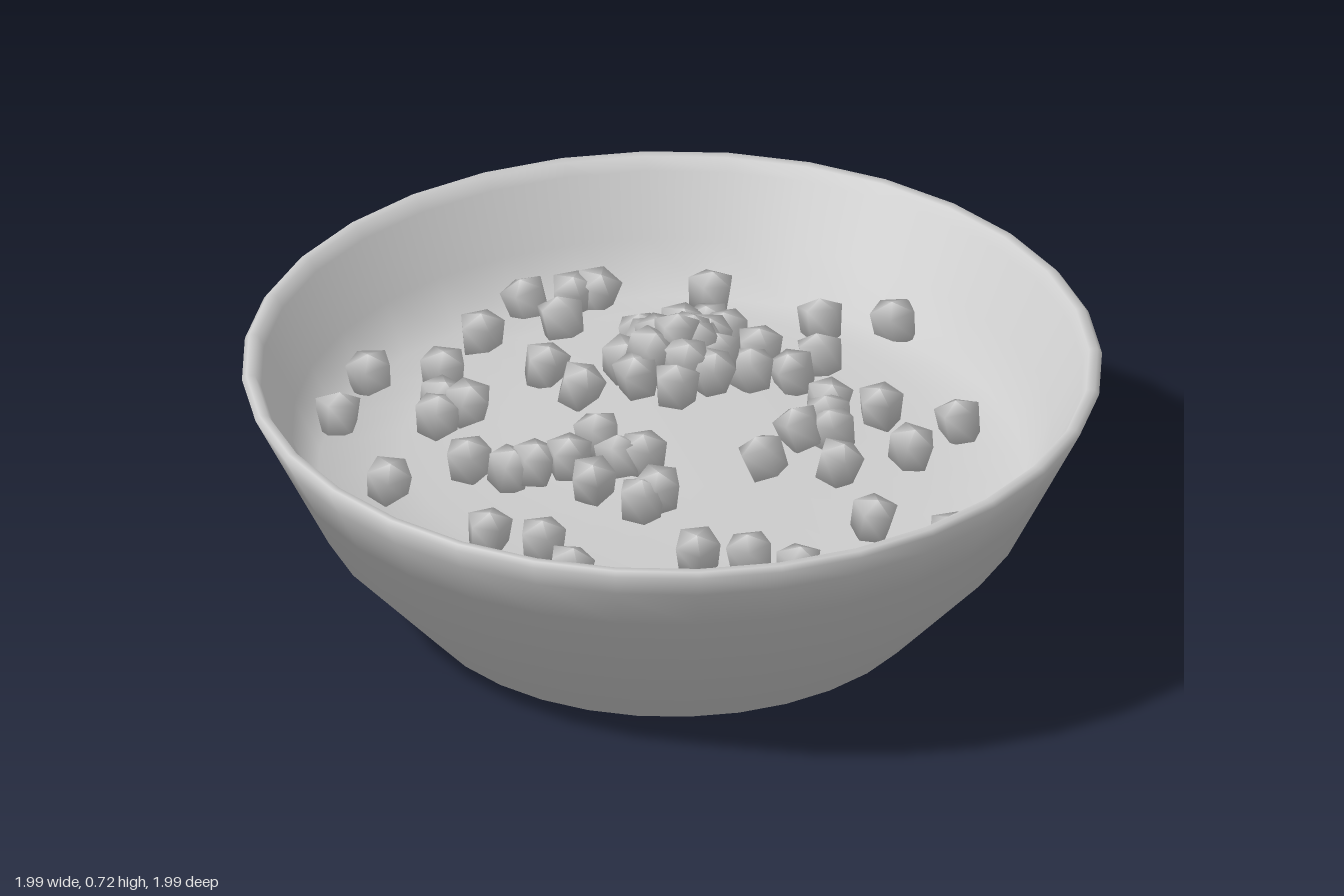
import * as THREE from 'three';

const grey = new THREE.MeshStandardMaterial({ color: 0xcccccc });

// Height of the heaped filling at a given radius
const moundHeight = (r) => 0.56 - 0.24 * r - 0.08 * r * r;

// Turned surface from rings of [radius, height, upward tilt of the soft normal in degrees]
function turned(rings, segments) {
  const geometry = new THREE.LatheGeometry(rings.map(([r, y]) => new THREE.Vector2(r, y)), segments);
  const normal = geometry.attributes.normal;
  for (let i = 0; i < normal.count; i++) {
    const turn = (Math.floor(i / rings.length) / segments) * Math.PI * 2;
    const tilt = THREE.MathUtils.degToRad(rings[i % rings.length][2]);
    const out = Math.cos(tilt);
    normal.setXYZ(i, Math.sin(turn) * out, Math.sin(tilt), Math.cos(turn) * out);
  }
  return geometry;
}

// Small repeatable variation
function seeded(seed) {
  return () => {
    seed = (seed * 16807) % 2147483647;
    return seed / 2147483647;
  };
}

// Loose pieces lying on the filling: x, z
const loosePieces = [
  [-0.37, -0.70], [-0.18, -0.77], [-0.15, -0.57], [0.06, -0.64], [0.32, -0.73],
  [0.38, -0.64], [0.43, -0.61], [0.19, -0.51], [0.58, -0.39], [-0.58, -0.36],
  [-0.34, -0.42], [-0.28, -0.46], [-0.28, -0.38], [-0.09, -0.31], [-0.46, -0.22],
  [-0.15, -0.15], [0.14, -0.22], [0.25, -0.19], [0.31, -0.16], [0.23, -0.09],
  [0.30, -0.10], [0.16, -0.05], [0.28, 0.02], [0.40, 0.10], [0.16, 0.10],
  [0.25, 0.15], [0.61, -0.08], [0.81, -0.03], [-0.45, -0.10], [-0.41, -0.06],
  [-0.36, 0.00], [-0.27, 0.01], [-0.39, 0.10], [-0.30, 0.10], [-0.26, 0.14],
  [-0.37, 0.23], [-0.32, 0.24], [-0.63, -0.01], [-0.74, 0.12], [-0.59, 0.12],
  [-0.69, 0.21], [-0.62, 0.23], [-0.65, 0.31], [-0.66, 0.40], [-0.66, 0.46],
  [-0.40, 0.43], [-0.32, 0.52], [-0.26, 0.62], [-0.46, 0.64], [-0.07, 0.34],
  [0.08, 0.32], [0.15, 0.36], [0.18, 0.32], [0.23, 0.28], [0.34, 0.34],
  [0.07, 0.45], [0.28, 0.49], [0.49, 0.45], [0.00, 0.62], [0.12, 0.75],
];

export function createModel() {
  const model = new THREE.Group();

  // Bowl: flat foot, bent wall, thin rim and steep inner wall
  const bowl = new THREE.Mesh(turned([
    [0, 0, -90], [0.6, 0, -70], [0.82, 0.24, -58], [0.91, 0.42, -48], [0.965, 0.53, -20],
    [0.995, 0.59, 10], [0.985, 0.602, 60], [0.965, 0.6, 120], [0.95, 0.57, 145],
    [0.88, 0.43, 145], [0.82, moundHeight(0.82), 115],
  ], 32), grey);
  bowl.name = 'bowl';
  model.add(bowl);

  // Filling: shallow mound blending into the inner wall
  const filling = new THREE.Mesh(turned([
    [0.82, moundHeight(0.82), 115], [0.62, moundHeight(0.62), 95],
    [0.35, moundHeight(0.35), 88], [0, moundHeight(0), 90],
  ], 32), grey);
  filling.name = 'filling';
  model.add(filling);

  // Pieces: small five-sided blocks, slightly tilted
  const random = seeded(41);
  const block = turned([
    [0, -0.047, -90], [0.048, -0.043, -50], [0.055, 0.03, 5], [0, 0.05, 60],
  ], 5);
  const pieces = new THREE.Group();
  pieces.name = 'pieces';
  function addPiece(x, y, z) {
    const piece = new THREE.Mesh(block, grey);
    piece.name = 'piece';
    piece.position.set(x, y, z);
    piece.rotation.set((random() - 0.5) * 0.5, random() * Math.PI * 2, (random() - 0.5) * 0.5);
    pieces.add(piece);
  }
  for (const [x, z] of loosePieces) addPiece(x, moundHeight(Math.hypot(x, z)) + 0.042, z);

  // Central pile: rings of pieces rising to one on top
  const pile = [[0.11, 7, 0.61], [0.06, 4, 0.645], [0.015, 1, 0.675]];
  for (const [radius, count, y] of pile) {
    for (let i = 0; i < count; i++) {
      const a = (i / count) * Math.PI * 2 + radius * 5;
      addPiece(radius * Math.cos(a), y + (random() - 0.5) * 0.02, radius * Math.sin(a));
    }
  }
  model.add(pieces);
  return model;
}
